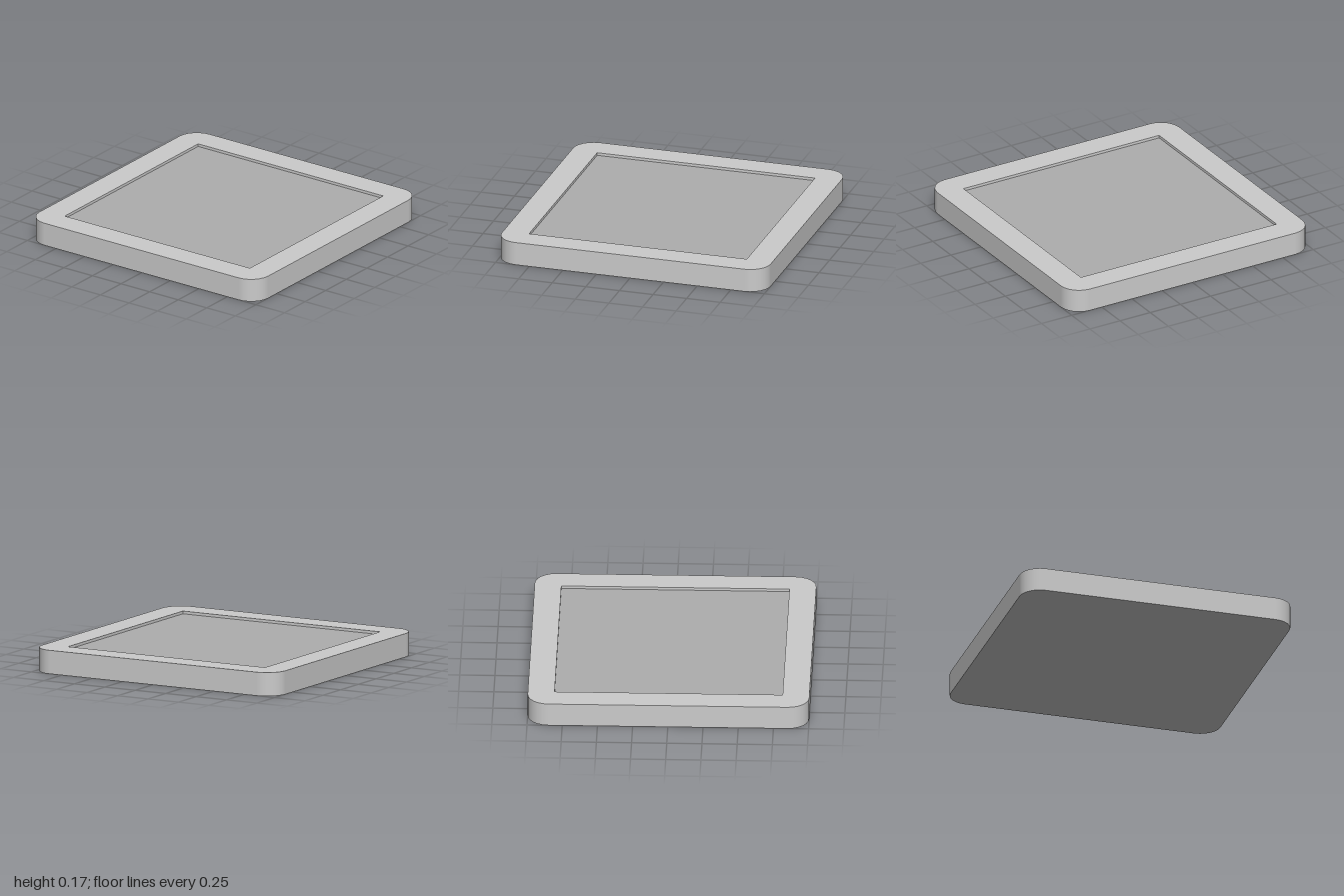
import * as THREE from 'three';

const HEIGHT = 0.17, FLOOR = 0.15; // slab top and recess floor
const RADIUS = 0.15, INNER = 0.81; // corner radius and half size of the recess

// Square outline with rounded corners, centred on the origin
function roundedSquare(half, r) {
  const shape = new THREE.Shape();
  const c = half - r;
  [[c, c], [-c, c], [-c, -c], [c, -c]].forEach(([x, y], i) =>
    shape.absarc(x, y, r, i * Math.PI / 2, (i + 1) * Math.PI / 2, false));
  shape.closePath();
  return shape;
}

// Frame with a square opening, whose inner walls end at the recess floor
function frameGeometry() {
  const shape = roundedSquare(1, RADIUS);
  shape.holes.push(new THREE.Path([
    [-INNER, -INNER], [-INNER, INNER], [INNER, INNER], [INNER, -INNER],
  ].map(([x, y]) => new THREE.Vector2(x, y))));
  const geo = new THREE.ExtrudeGeometry(shape, { depth: HEIGHT, bevelEnabled: false, curveSegments: 3 });
  geo.rotateX(-Math.PI / 2);

  const pos = geo.attributes.position, nor = geo.attributes.normal;
  const c = 1 - RADIUS;
  for (let i = 0; i < pos.count; i++) {
    if (Math.abs(nor.getY(i)) > 0.5) continue; // top and bottom stay flat
    const x = pos.getX(i), z = pos.getZ(i);
    if (Math.max(Math.abs(x), Math.abs(z)) < INNER + 0.01) {
      if (pos.getY(i) < FLOOR) pos.setY(i, FLOOR);
    } else {
      // smooth normals around the outer corners
      const n = new THREE.Vector3(
        x - THREE.MathUtils.clamp(x, -c, c), 0, z - THREE.MathUtils.clamp(z, -c, c)).normalize();
      nor.setXYZ(i, n.x, 0, n.z);
    }
  }
  return geo;
}

export function createModel() {
  const group = new THREE.Group();
  group.name = 'tray';
  const bodyMat = new THREE.MeshStandardMaterial({ color: 0xcccccc });
  const panelMat = new THREE.MeshStandardMaterial({ color: 0xaeaeae });

  const add = (name, geo, mat, y = 0) => {
    const mesh = new THREE.Mesh(geo, mat);
    mesh.name = name;
    mesh.position.y = y;
    group.add(mesh);
  };

  add('frame', frameGeometry(), bodyMat);

  // Sunken panel on top, and the underside that closes the frame
  const square = () => new THREE.PlaneGeometry(2 * INNER, 2 * INNER);
  add('recessPanel', square().rotateX(-Math.PI / 2), panelMat, FLOOR);
  add('underside', square().rotateX(Math.PI / 2), bodyMat);
  return group;
}
